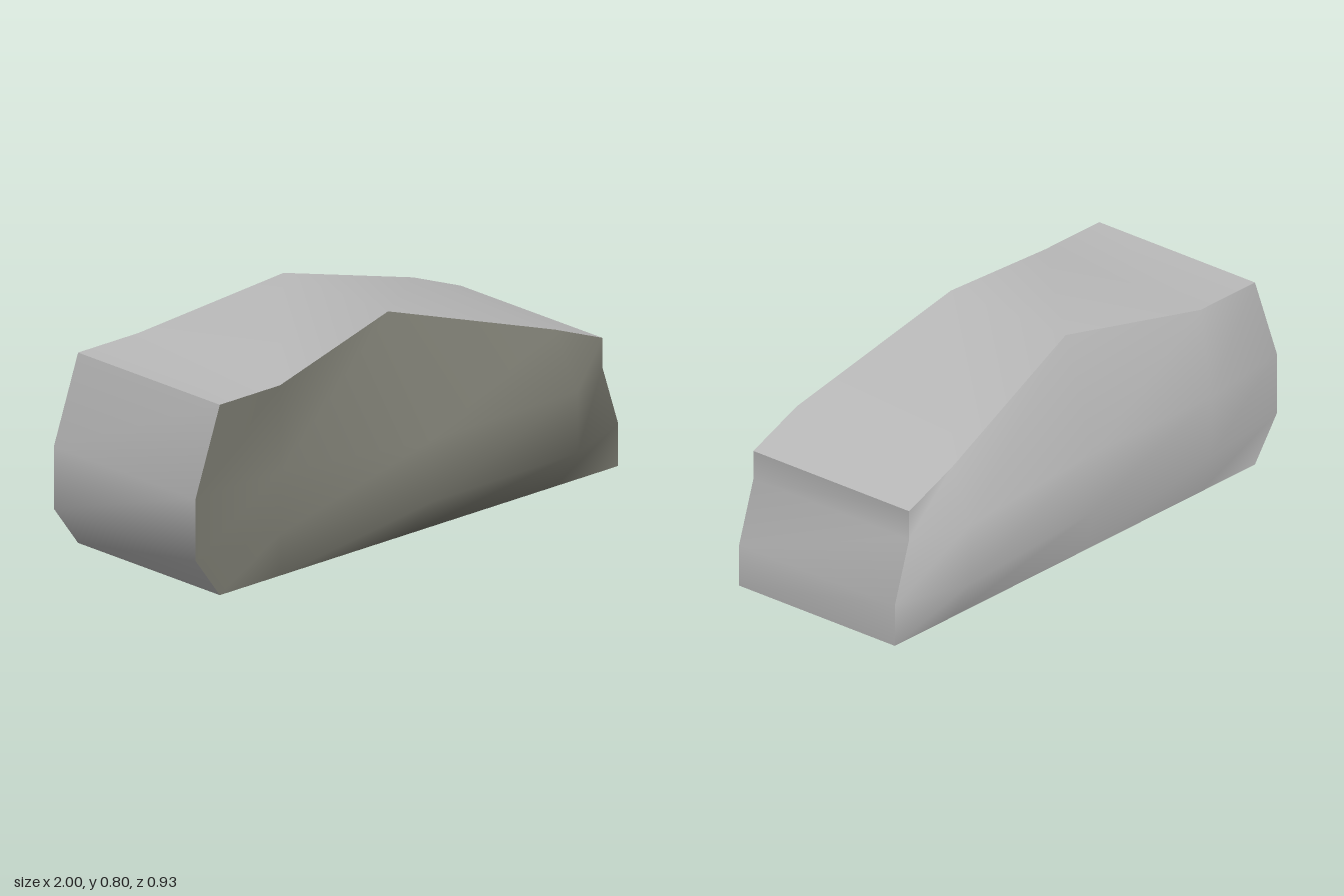
import * as THREE from 'three';

const paint = (name, color) => {
  const m = new THREE.MeshStandardMaterial({ color });
  m.name = name;
  return m;
};

// Smooth panel through a grid of points; faces along (u x v)
function panel(name, grid, material) {
  const nv = grid[0].length;
  const index = [];
  for (let i = 0; i < grid.length - 1; i++) {
    for (let j = 0; j < nv - 1; j++) {
      const a = i * nv + j, b = a + nv;
      index.push(a, b, b + 1, a, b + 1, a + 1);
    }
  }
  const g = new THREE.BufferGeometry();
  g.setAttribute('position', new THREE.Float32BufferAttribute(grid.flat(2), 3));
  g.setIndex(index);
  g.computeVertexNormals();
  const mesh = new THREE.Mesh(g, material);
  mesh.name = name;
  return mesh;
}

export function createModel() {
  const grey = paint('light grey', 0xbbbbbb);
  const olive = paint('dark warm grey', 0x78786e);
  const dark = paint('dark underside', 0x48484f);

  // Stations along x, each with four heights from the base to the top edge
  const F = 0.335, B = -0.38;
  const stations = [
    { x: [-0.885, -1, -1, -0.885], top: 0.7, front: [F, F, F, F], back: [B, B, B, B] },
    { x: [-0.6, -0.6, -0.6, -0.6], top: 0.7, front: [F, F, F, F], back: [B, -0.43, -0.43, B] },
    { x: [0, 0, 0, 0], top: 0.795, front: [F, 0.463, 0.463, 0.24], back: [B, -0.412, -0.412, -0.287] },
    { x: [0.7, 0.7, 0.7, 0.7], top: 0.577, front: [F, 0.451, 0.451, F], back: [B, -0.463, -0.463, B] },
    { x: [1, 1, 0.925, 0.925], top: 0.49, front: [F, F, F, F], back: [B, B, B, B] },
  ];
  const column = (s, side) => s.x.map((x, j) => [x, [0, 0.155, 0.382, s.top][j], s[side][j]]);
  const front = stations.map((s) => column(s, 'front'));
  const back = stations.map((s) => column(s, 'back'));
  const last = stations.length - 1;

  const model = new THREE.Group();
  model.name = 'facetedBlock';
  model.add(
    // Long sides
    panel('frontSide', front, olive),
    panel('backSide', [...back].reverse(), grey),
    // Roof and base
    panel('top', front.map((c, i) => [c[3], back[i][3]]), grey),
    panel('underside', front.map((c, i) => [back[i][0], c[0]]), dark),
    // Short ends
    panel('leftEnd', [front[last], back[last]], grey),
    panel('rightEnd', [back[0], front[0]], grey),
  );
  return model;
}
